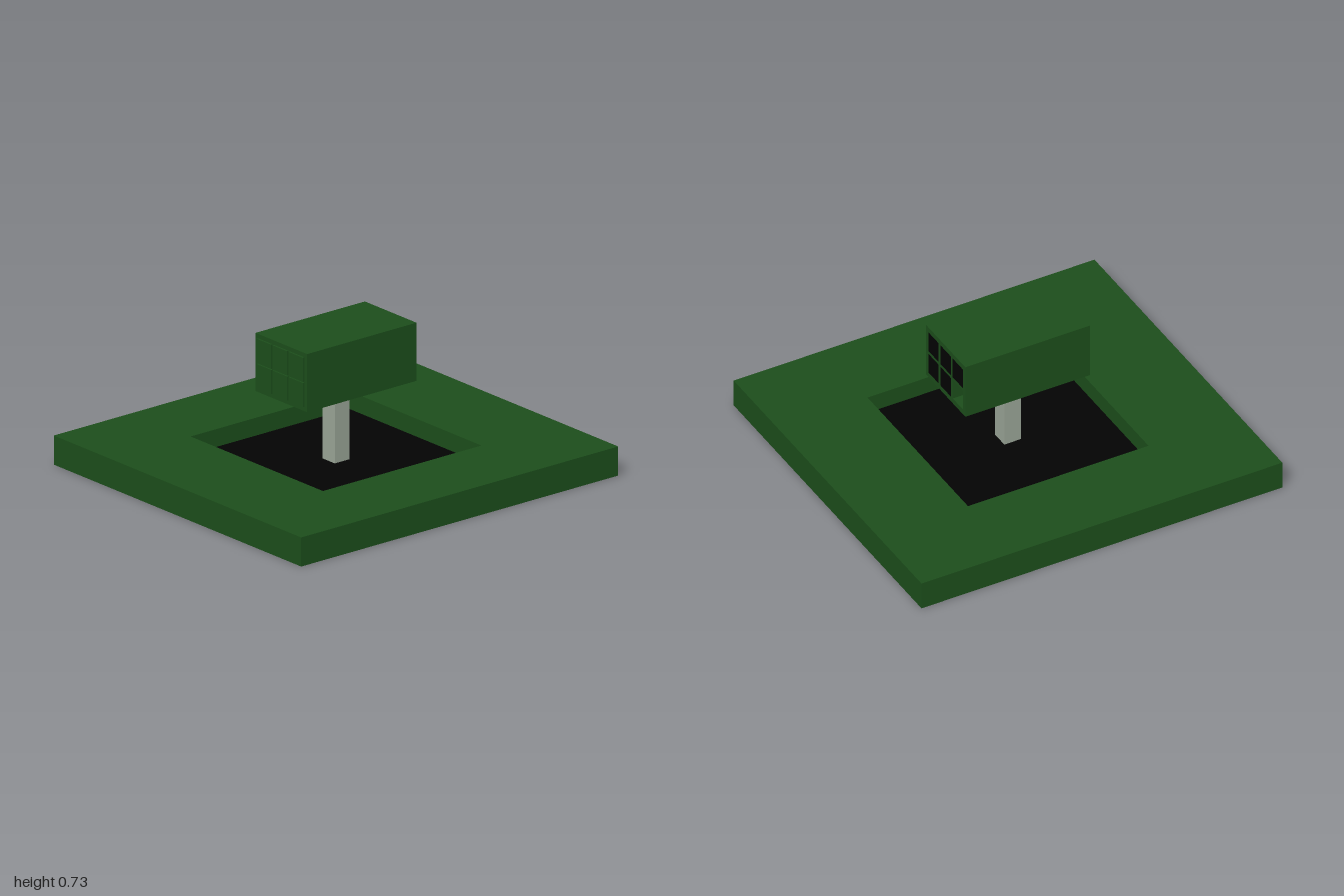
import * as THREE from 'three';

const green = new THREE.MeshStandardMaterial({ name: 'darkGreen', color: 0x1c4e1b });
const black = new THREE.MeshStandardMaterial({ name: 'black', color: 0x030303 });
const grey = new THREE.MeshStandardMaterial({ name: 'postGrey', color: 0x99a496 });

function box(name, material, w, h, d, x, y, z) {
  const mesh = new THREE.Mesh(new THREE.BoxGeometry(w, h, d), material);
  mesh.name = name;
  mesh.position.set(x, y, z);
  return mesh;
}

// Closed rectangle centred on (x, y), for outlines and holes
function rect(PathType, w, h, x = 0, y = 0) {
  return new PathType([[-1, -1], [1, -1], [1, 1], [-1, 1]].map(
    ([sx, sy]) => new THREE.Vector2(x + sx * w / 2, y + sy * h / 2)));
}

// Rectangle with one rectangular hole, extruded along z
function pierced(w, h, hole, depth) {
  const shape = rect(THREE.Shape, w, h);
  shape.holes.push(hole);
  return new THREE.ExtrudeGeometry(shape, { depth, bevelEnabled: false });
}

// Horizontal frame standing between two heights
function frame(name, material, w, d, holeW, holeD, y0, y1) {
  const geometry = pierced(w, d, rect(THREE.Path, holeW, holeD), y1 - y0);
  geometry.rotateX(-Math.PI / 2).translate(0, y0, 0);
  const mesh = new THREE.Mesh(geometry, material);
  mesh.name = name;
  return mesh;
}

// Green rim over a dark plate, with a shallow hollow underneath
function createBase() {
  const base = new THREE.Group();
  base.name = 'base';
  const w = 1.87, d = 2, plateY = 0.055, t = 0.002;
  base.add(frame('baseRim', green, w, d, 1, 1, plateY, 0.15));
  base.add(frame('baseSkirt', green, w, d, w - 2 * t, d - 2 * t, 0, plateY));
  base.add(frame('skirtLining', black, w - 2 * t, d - 2 * t, w - 4 * t, d - 4 * t, 0, plateY));
  base.add(box('pitFloor', black, w - 4 * t, 0.006, d - 4 * t, 0, plateY, 0));
  return base;
}

function createLauncher() {
  const launcher = new THREE.Group();
  launcher.name = 'launcher';
  launcher.position.y = 0.584;
  const depth = 0.69, columns = [-0.12, 0, 0.12], rows = [-0.065, 0.065];

  // Casing with one open tube at the rear
  const opening = rect(THREE.Path, 0.1, 0.112, columns[0], rows[0]);
  const casing = new THREE.Mesh(pierced(0.39, 0.3, opening, depth), green);
  casing.name = 'casing';
  casing.position.z = -depth / 2;
  launcher.add(casing);

  for (const x of columns) {
    for (const y of rows) {
      launcher.add(box('tubeLid', green, 0.11, 0.125, 0.014, x, y, depth / 2 + 0.003));
      if (x !== columns[0] || y !== rows[0]) {
        launcher.add(box('rearTubeMouth', black, 0.1, 0.112, 0.002, x, y, -depth / 2));
      }
    }
  }
  return launcher;
}

export function createModel() {
  const model = new THREE.Group();
  model.name = 'launcherOnBase';
  model.add(createBase());
  model.add(box('post', grey, 0.092, 0.39, 0.092, 0, 0.241, 0));
  model.add(createLauncher());
  return model;
}
